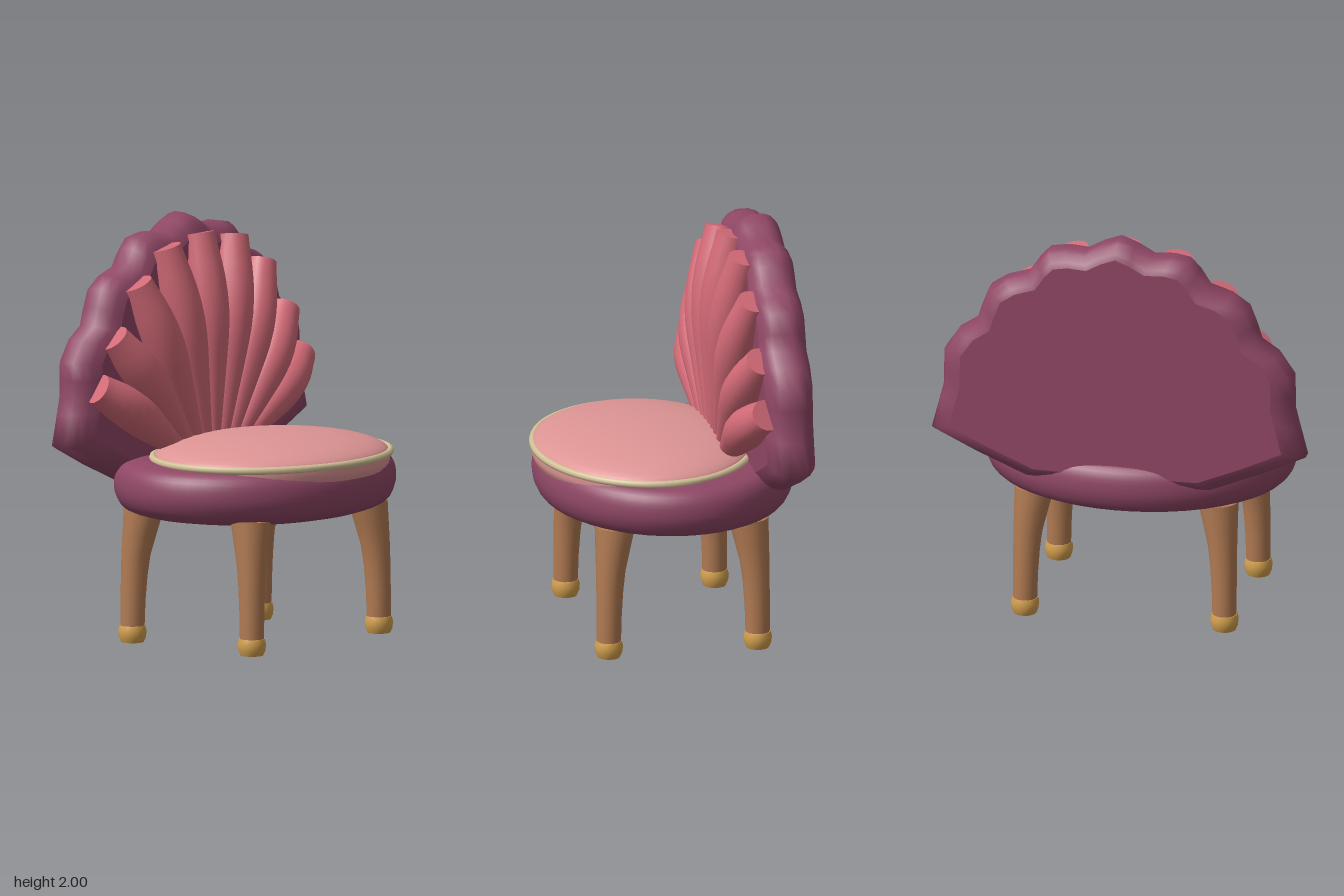
import * as THREE from 'three';

const V = (x, y, z) => new THREE.Vector3(x, y, z);
const paint = (name, color) => {
  const m = new THREE.MeshStandardMaterial({ color });
  m.name = name;
  return m;
};

// Skin a list of rings (counter-clockwise seen from the far end) with flat end caps
function loft(rings) {
  const pos = [], idx = [], n = rings[0].length;
  const add = p => pos.push(p.x, p.y, p.z) / 3 - 1;
  rings.forEach(r => r.forEach(add));
  for (let i = 0; i < rings.length - 1; i++) {
    for (let j = 0; j < n; j++) {
      const a = i * n + j, b = i * n + (j + 1) % n;
      idx.push(a, b, b + n, a, b + n, a + n);
    }
  }
  const cap = (ring, flip, centre) => {
    const c = add(centre);
    const ids = ring.map(add);
    ids.forEach((k, j) => {
      const next = ids[(j + 1) % n];
      flip ? idx.push(c, next, k) : idx.push(c, k, next);
    });
  };
  const mean = r => r.reduce((s, p) => s.add(p), V(0, 0, 0)).divideScalar(n);
  const last = rings[rings.length - 1];
  cap(rings[0], true, mean(rings[0]));
  cap(last, false, mean(last));
  const g = new THREE.BufferGeometry();
  g.setAttribute('position', new THREE.Float32BufferAttribute(pos, 3));
  g.setIndex(idx);
  g.computeVertexNormals();
  return g;
}

// Circle of points around a centre, square to a direction
function circle(centre, dir, radius, sides) {
  const q = new THREE.Quaternion().setFromUnitVectors(V(0, 0, 1), dir.clone().normalize());
  return Array.from({ length: sides }, (_, j) => {
    const a = j / sides * Math.PI * 2;
    return V(Math.cos(a) * radius, Math.sin(a) * radius, 0).applyQuaternion(q).add(centre);
  });
}

const lathe = (points, sides = 48) =>
  new THREE.LatheGeometry(points.map(p => new THREE.Vector2(...p)), sides);

export function createModel() {
  const group = new THREE.Group();
  const plum = paint('plum upholstery', 0x8f4765);
  const rose = paint('rose ribs', 0xd26a77);
  const blush = paint('blush cushion', 0xdd9494);
  const cream = paint('cream piping', 0xd3c298);
  const wood = paint('wood', 0xb27b53);
  const brass = paint('brass', 0xd3a04e);
  const add = (name, geometry, material, parent = group) => {
    const m = new THREE.Mesh(geometry, material);
    m.name = name;
    parent.add(m);
    return m;
  };

  // Oval seat base
  const seatSide = new THREE.SplineCurve([[0.6, 0.618], [0.7, 0.65], [0.742, 0.71], [0.75, 0.77],
    [0.735, 0.83], [0.69, 0.87], [0.6, 0.885]].map(p => new THREE.Vector2(...p)));
  const seat = add('seatBase', lathe([...seatSide.getPoints(18).map(p => [p.x, p.y]), [0, 0.885]]), plum);
  const under = add('seatUnderside', lathe([[0, 0.605], [0.52, 0.605], [0.6, 0.618]]), plum);
  [seat, under].forEach(m => { m.scale.z = 0.82; m.position.z = -0.01; });

  // Domed cushion
  const dome = Array.from({ length: 13 }, (_, i) => {
    const a = i / 12 * Math.PI / 2;
    return [0.625 * Math.cos(a), 0.885 + 0.113 * Math.sin(a)];
  });
  dome[12][0] = 0;
  const cushion = add('cushion', lathe([[0.58, 0.8], [0.615, 0.815], [0.625, 0.85], ...dome]), blush);
  cushion.scale.z = 0.832;
  cushion.position.z = 0.09;

  // Piping around the cushion
  const oval = Array.from({ length: 32 }, (_, i) => {
    const a = i / 32 * Math.PI * 2;
    return V(0.637 * Math.cos(a), 0.89, 0.09 + 0.513 * Math.sin(a));
  });
  add('piping', new THREE.TubeGeometry(new THREE.CatmullRomCurve3(oval, true), 80, 0.018, 8, true), cream);

  // Scalloped shell back: half outline from bottom to top, mirrored
  const half = [[0.2, 0.755], [0.45, 0.76], [0.7, 0.865], [0.91, 0.965], [0.87, 1.12], [0.85, 1.2],
    [0.85, 1.28], [0.848, 1.37], [0.78, 1.47], [0.69, 1.53], [0.665, 1.61], [0.63, 1.7], [0.55, 1.755],
    [0.44, 1.79], [0.39, 1.865], [0.34, 1.918], [0.26, 1.932], [0.16, 1.925], [0.08, 1.97]];
  const outline = [...half, [0, 2], ...half.map(([x, y]) => [-x, y]).reverse()];
  const shellSteps = [[-0.577, 0.89], [-0.565, 0.93], [-0.535, 0.98], [-0.5, 1], [-0.44, 1],
    [-0.4, 0.975], [-0.37, 0.935], [-0.35, 0.87]];
  add('shellBack', loft(shellSteps.map(([z, s]) =>
    outline.map(([x, y]) => V(x * s, 1.3 + (y - 1.3) * s, z)))), plum);

  // Fanned ribs, thick near the tip and cut flat
  const ribs = new THREE.Group();
  ribs.name = 'ribs';
  group.add(ribs);
  const tips = [[0, 1.91], [0.257, 1.87], [0.475, 1.72], [0.653, 1.478], [0.775, 1.248]];
  const girth = new THREE.SplineCurve([[0, 0.035], [0.25, 0.056], [0.5, 0.08], [0.75, 0.097],
    [0.88, 0.094], [1, 0.076]].map(p => new THREE.Vector2(...p)));
  for (let i = -4; i <= 4; i++) {
    const [tx, ty] = tips[Math.abs(i)], s = Math.sign(i);
    const bx = 0.052 * i, by = 0.88;
    const at = (t, z) => V(bx + (s * tx - bx) * t, by + (ty - by) * t, z);
    const path = new THREE.CatmullRomCurve3([at(0, -0.265), at(0.35, -0.28), at(0.7, -0.295), at(1, -0.35)]);
    const rings = Array.from({ length: 15 }, (_, k) => {
      const t = k / 14;
      return circle(path.getPointAt(t), path.getTangentAt(t), girth.getPoint(t).y, 16);
    });
    add('rib', loft(rings), rose, ribs);
  }

  // Legs flare inward at the top; brass caps on the feet
  const legSteps = [[0.06, 0.058], [0.2, 0.06], [0.32, 0.064], [0.42, 0.07], [0.52, 0.082], [0.64, 0.097]];
  for (const sx of [-1, 1]) {
    for (const sz of [-1, 1]) {
      const leg = new THREE.Group();
      leg.name = (sz > 0 ? 'front' : 'back') + (sx > 0 ? 'LeftLeg' : 'RightLeg');
      leg.position.z = -0.006;
      group.add(leg);
      add('legShaft', loft(legSteps.map(([y, r]) =>
        circle(V(sx * (0.544 - r), y, sz * (0.42 - r)), V(0, 1, 0), r, 18))), wood, leg);
      const foot = [[0, 0.054], [0.025, 0.065], [0.055, 0.068], [0.08, 0.061]];
      add('footCap', loft(foot.map(([y, r]) =>
        circle(V(sx * 0.486, y, sz * 0.362), V(0, 1, 0), r, 18))), brass, leg);
    }
  }
  return group;
}
